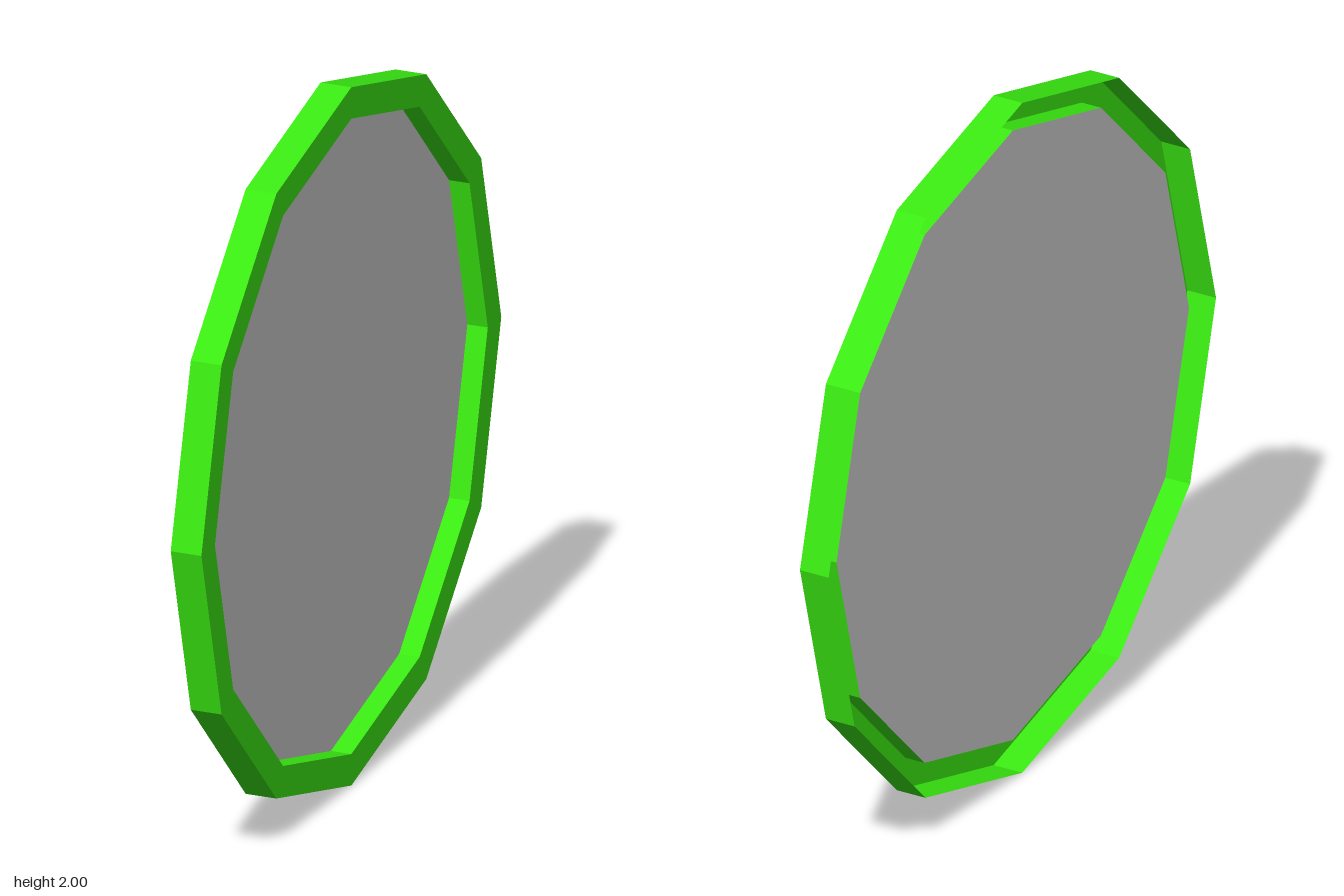
import * as THREE from 'three';

const SIDES = 12, OUTER = 1, INNER = 0.91, HALF = 0.045, PANEL_X = -0.015;

export function createModel() {
  const model = new THREE.Group();
  model.name = 'framedDisc';

  const green = new THREE.MeshStandardMaterial({
    color: 0x3ae912, flatShading: true, side: THREE.DoubleSide,
  });
  const grey = new THREE.MeshStandardMaterial({
    color: 0xcccccc, flatShading: true, side: THREE.DoubleSide,
  });

  // Rim: outer wall, face on the +x side and inner wall down to the panel; hollow on the -x side
  const profile = [
    [OUTER, -HALF], [OUTER, HALF], [INNER, HALF], [INNER, PANEL_X],
  ].map(([r, y]) => new THREE.Vector2(r, y));
  const rim = new THREE.Mesh(new THREE.LatheGeometry(profile, SIDES).rotateZ(-Math.PI / 2), green);
  rim.name = 'rim';

  // Thin panel recessed inside the rim
  const panel = new THREE.Mesh(new THREE.CircleGeometry(INNER, SIDES).rotateY(Math.PI / 2), grey);
  panel.name = 'panel';
  panel.position.x = PANEL_X;

  for (const part of [rim, panel]) {
    part.position.y = OUTER;
    model.add(part);
  }
  return model;
}
